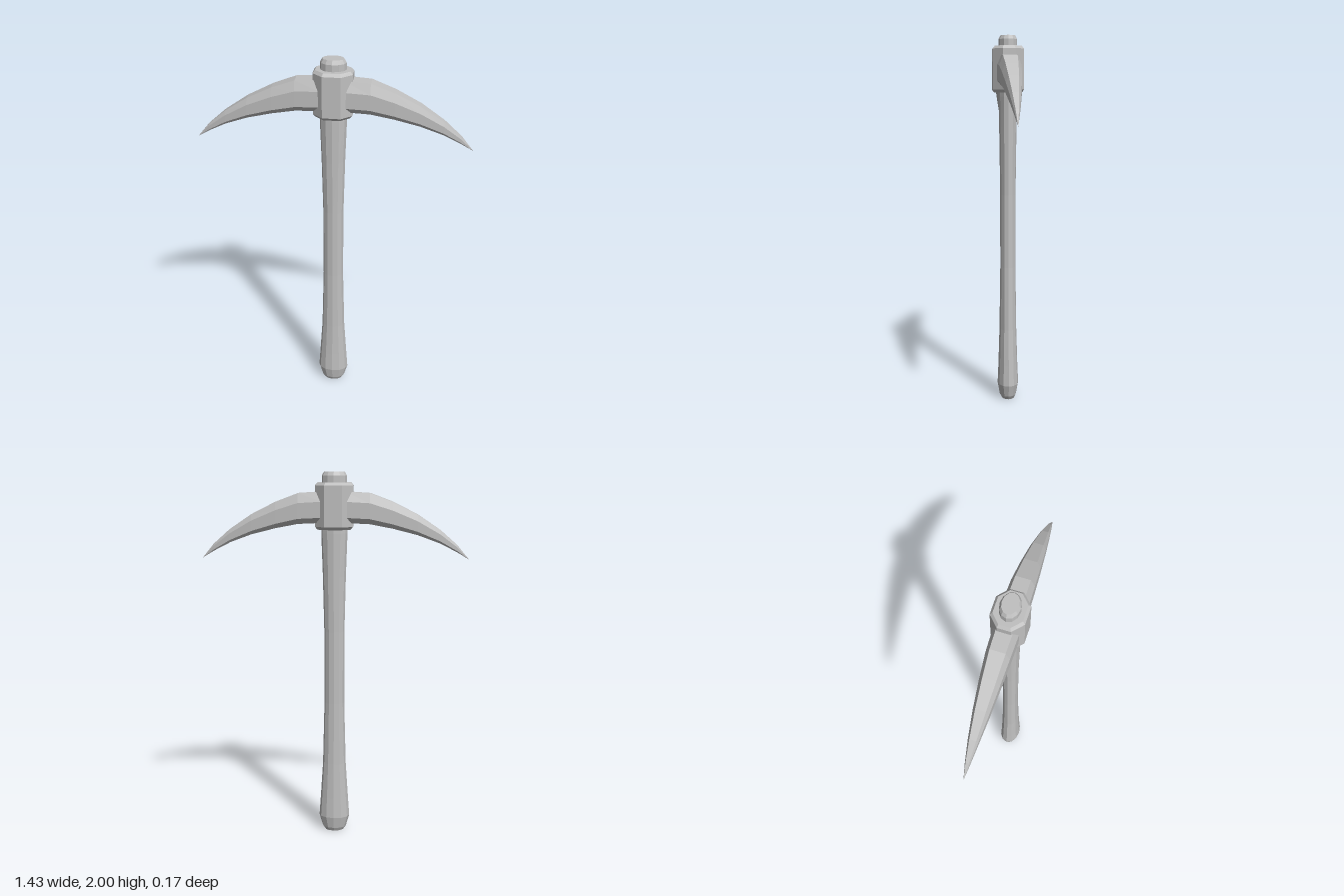
import * as THREE from 'three';

// Skin over a list of rings; rings run counterclockwise around the travel direction.
function loft(rings) {
  const pos = [];
  const tri = (...pts) => pts.forEach((p) => pos.push(...p));
  const n = rings[0].length;
  for (let i = 0; i < rings.length - 1; i++) {
    for (let j = 0; j < n; j++) {
      const k = (j + 1) % n;
      const a = rings[i][j], b = rings[i][k], c = rings[i + 1][k], d = rings[i + 1][j];
      tri(a, b, c);
      tri(a, c, d);
    }
  }
  const first = rings[0], last = rings[rings.length - 1];
  for (let j = 1; j < n - 1; j++) {
    tri(first[0], first[j + 1], first[j]);
    tri(last[0], last[j], last[j + 1]);
  }
  const geo = new THREE.BufferGeometry();
  geo.setAttribute('position', new THREE.Float32BufferAttribute(pos, 3));
  geo.computeVertexNormals();
  return geo;
}

export function createModel() {
  const group = new THREE.Group();
  const grey = new THREE.MeshStandardMaterial({ color: 0xc0c0c0 });
  grey.name = 'grey';
  const add = (name, rings) => {
    const mesh = new THREE.Mesh(loft(rings), grey);
    mesh.name = name;
    group.add(mesh);
  };

  // Handle: oval sections as [height, half width, half depth]
  const sides = 12;
  const handle = [
    [0, 0.052, 0.036], [0.02, 0.066, 0.046], [0.085, 0.085, 0.058], [0.2, 0.077, 0.053],
    [0.4, 0.064, 0.047], [0.75, 0.055, 0.042], [1.15, 0.055, 0.042], [1.45, 0.062, 0.046],
    [1.68, 0.07, 0.05], [1.98, 0.066, 0.05], [2, 0.055, 0.04],
  ];
  add('handle', handle.map(([y, rx, rz]) =>
    Array.from({ length: sides }, (_, i) => {
      const t = (i / sides) * Math.PI * 2;
      return [rx * Math.cos(t), y, -rz * Math.sin(t)];
    })));

  // Collar: bevelled octagonal block as [height, half width, half depth]
  const collar = [[1.7, 0.088, 0.071], [1.715, 0.1, 0.083], [1.93, 0.1, 0.083], [1.945, 0.088, 0.071]];
  add('collar', collar.map(([y, x, z]) => {
    const fx = x * 0.47, fz = z * 0.4;
    return [[x, y, fz], [x, y, -fz], [fx, y, -z], [-fx, y, -z],
      [-x, y, -fz], [-x, y, fz], [-fx, y, z], [fx, y, z]];
  }));

  // Curved pick head: [distance out, top, bottom, half depth], mirrored across the handle
  const half = [
    [0.06, 1.898, 1.736, 0.062], [0.19, 1.89, 1.73, 0.058], [0.31, 1.845, 1.707, 0.05],
    [0.44, 1.78, 1.674, 0.039], [0.56, 1.7, 1.63, 0.025], [0.65, 1.622, 1.584, 0.012],
    [0.715, 1.545, 1.545, 0],
  ];
  const stations = [...half.map(([x, ...r]) => [-x, ...r]).reverse(), ...half];
  add('pickHead', stations.map(([x, top, bottom, z]) => {
    const h = top - bottom, up = top - h * 0.32, low = bottom + h * 0.17, f = z * 0.65;
    return [[x, top, -f], [x, top, f], [x, up, z], [x, low, z],
      [x, bottom, f], [x, bottom, -f], [x, low, -z], [x, up, -z]];
  }));

  return group;
}
